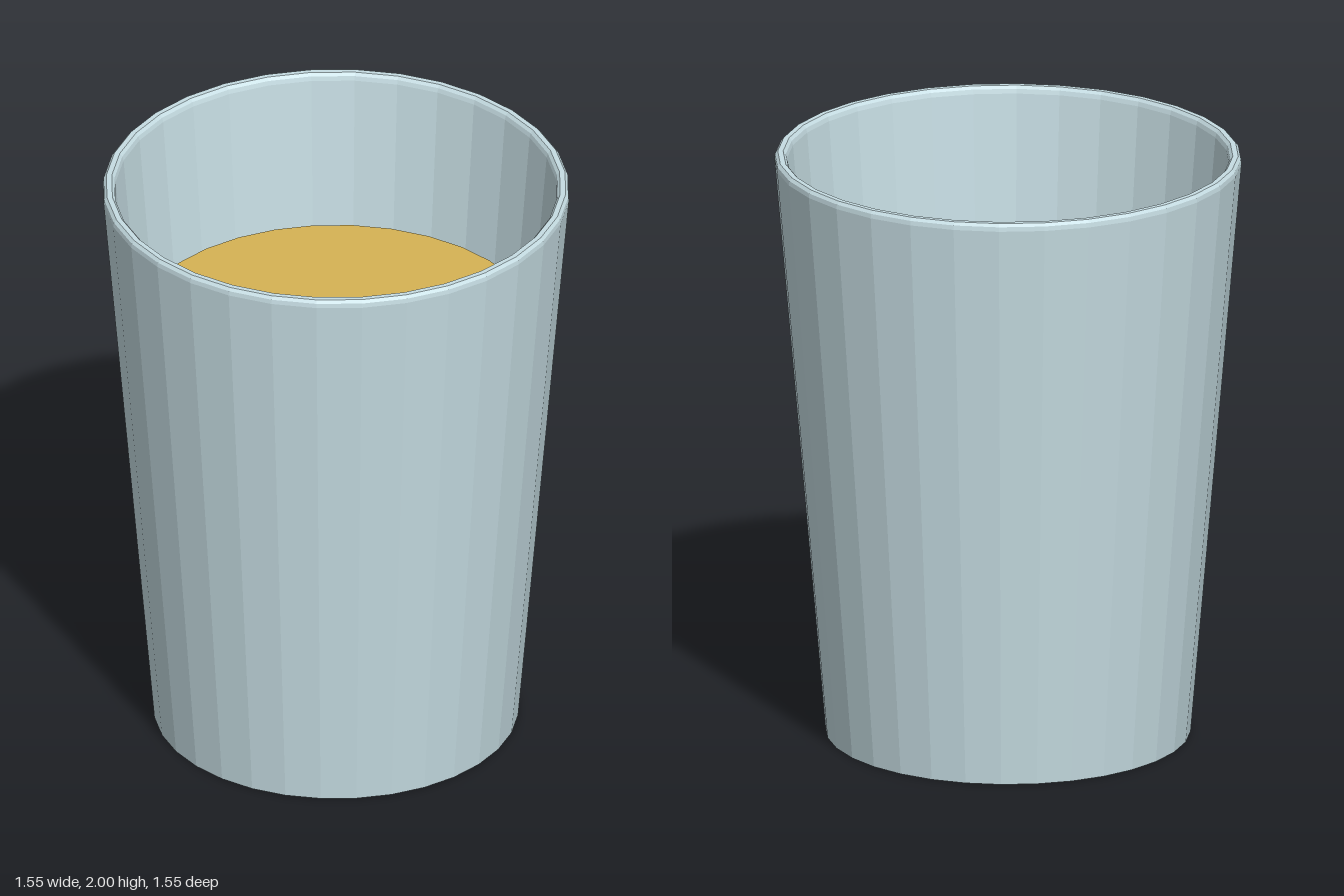
import * as THREE from 'three';

const SIDES = 32;

// Faceted solid of revolution from [radius, height] pairs
function turned(name, profile, material) {
  const points = profile.map(([r, y]) => new THREE.Vector2(r, y));
  const geometry = new THREE.LatheGeometry(points, SIDES).toNonIndexed();
  geometry.computeVertexNormals();
  const mesh = new THREE.Mesh(geometry, material);
  mesh.name = name;
  return mesh;
}

export function createModel() {
  const glass = new THREE.MeshStandardMaterial({ color: 0xc6dde3 });
  glass.name = 'paleBlueGlass';
  const amber = new THREE.MeshStandardMaterial({ color: 0xd6b354 });
  amber.name = 'amberLiquid';

  const group = new THREE.Group();
  group.name = 'tumbler';

  // Hollow tapered cup with a bevelled rim and a thick base
  group.add(turned('cup', [
    [0, 0], [0.605, 0], [0.774, 1.975], [0.772, 1.99], [0.763, 2],
    [0.745, 2], [0.736, 1.99], [0.732, 1.975], [0.575, 0.1], [0, 0.1],
  ], glass));

  // Drink filling the cup to about three quarters
  group.add(turned('liquid', [
    [0, 0.11], [0.555, 0.11], [0.666, 1.46], [0, 1.46],
  ], amber));

  return group;
}
